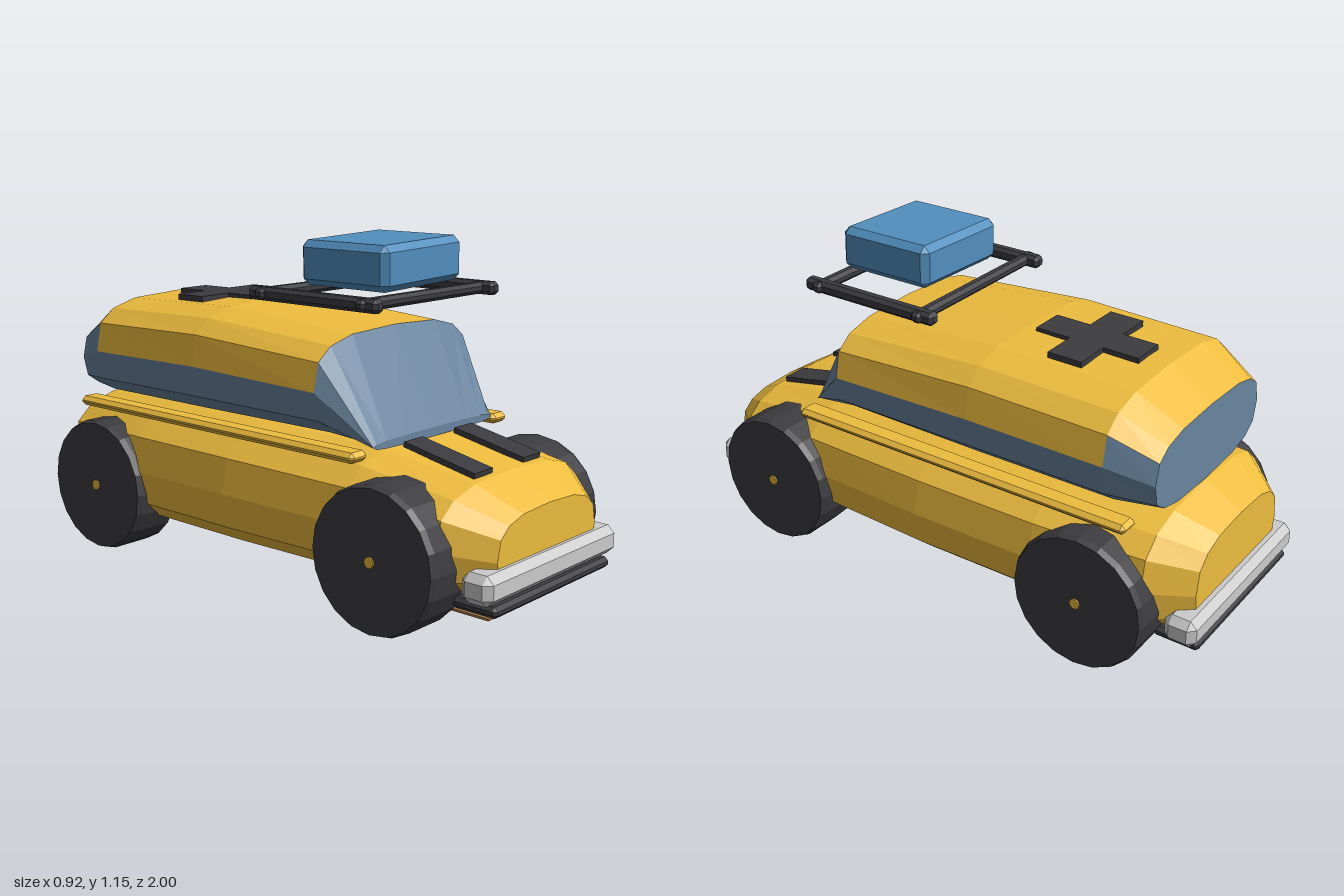
import * as THREE from 'three';
import { ConvexGeometry } from 'three/addons/geometries/ConvexGeometry.js';

const mat = (color, side = THREE.FrontSide) => new THREE.MeshStandardMaterial({ color, flatShading: true, side });
const YELLOW = mat(0xedbc3e, THREE.DoubleSide), GLASS = mat(0x6a86a0, THREE.DoubleSide);
const DARK = mat(0x3c3c40), CHROME = mat(0xdadcdc), BLUE = mat(0x528fbf), BROWN = mat(0xa8794a);

const SIDES = 16;

// Rounded-square ring: z position, half width, bottom and top heights
function ring([z, w, y0, y1], power) {
  const soft = v => Math.sign(v) * Math.abs(v) ** power;
  return Array.from({ length: SIDES }, (_, j) => {
    const a = j * Math.PI * 2 / SIDES;
    return [w * soft(Math.cos(a)), (y0 + y1) / 2 + (y1 - y0) / 2 * soft(Math.sin(a)), z];
  });
}

// Skin over rings from front to back; pick(segment, side) chooses faces, segment -1 and last are the caps
function loft(stations, power, pick = () => true) {
  const rings = stations.map(s => ring(s, power));
  const last = rings.length - 1, pos = [];
  const tri = (...pts) => pts.forEach(p => pos.push(...p));
  const mid = ([z, , y0, y1]) => [0, (y0 + y1) / 2, z];
  for (let j = 0; j < SIDES; j++) {
    const k = (j + 1) % SIDES;
    for (let i = 0; i < last; i++) {
      if (!pick(i, j)) continue;
      const [a, b, c, d] = [rings[i][j], rings[i][k], rings[i + 1][j], rings[i + 1][k]];
      tri(a, c, b);
      tri(b, c, d);
    }
    if (pick(-1, j)) tri(mid(stations[0]), rings[0][j], rings[0][k]);
    if (pick(last, j)) tri(mid(stations[last]), rings[last][k], rings[last][j]);
  }
  const geo = new THREE.BufferGeometry();
  geo.setAttribute('position', new THREE.Float32BufferAttribute(pos, 3));
  geo.computeVertexNormals();
  return geo;
}

// Box with chamfered edges
function chamferBox(w, h, d, c) {
  const pts = [];
  for (const x of [-1, 1]) for (const y of [-1, 1]) for (const z of [-1, 1]) {
    const [X, Y, Z] = [w / 2, h / 2, d / 2];
    pts.push(new THREE.Vector3(x * X, y * (Y - c), z * (Z - c)));
    pts.push(new THREE.Vector3(x * (X - c), y * Y, z * (Z - c)));
    pts.push(new THREE.Vector3(x * (X - c), y * (Y - c), z * Z));
  }
  return new ConvexGeometry(pts);
}

export function createModel() {
  const model = new THREE.Group();
  model.name = 'rescueCar';
  const add = (name, geo, material, x = 0, y = 0, z = 0, parent = model) => {
    const m = new THREE.Mesh(geo, material);
    m.name = name;
    m.position.set(x, y, z);
    parent.add(m);
    return m;
  };

  // Lower body
  add('body', loft([
    [0.965, 0.27, 0.14, 0.395],
    [0.83, 0.385, 0.115, 0.475],
    [0.5, 0.415, 0.1, 0.535],
    [0, 0.44, 0.1, 0.55],
    [-0.45, 0.435, 0.1, 0.55],
    [-0.83, 0.395, 0.115, 0.535],
    [-0.96, 0.28, 0.14, 0.46],
  ], 0.68), YELLOW);

  // Cabin: glass windshield, side band and rear window under a painted roof
  const cabin = [
    [0.53, 0.31, 0.53, 0.56],
    [0.36, 0.392, 0.535, 0.875],
    [-0.18, 0.4, 0.53, 0.914],
    [-0.68, 0.395, 0.53, 0.9],
    [-0.83, 0.34, 0.54, 0.805],
  ];
  const isGlass = (i, j) =>
    i <= 0 || i === 4 || j >= SIDES / 2 || (i === 3 && (j === 0 || j === 7));
  add('cabinGlass', loft(cabin, 0.64, isGlass), GLASS);
  add('cabinRoof', loft(cabin, 0.64, (i, j) => !isGlass(i, j)), YELLOW);

  // Belt trim, hood stripes and ground slats, mirrored
  for (const s of [-1, 1]) {
    add('beltTrim', chamferBox(0.08, 0.034, 1.3, 0.014), YELLOW, s * 0.37, 0.527, -0.12);
    const stripe = add('hoodStripe', new THREE.BoxGeometry(0.094, 0.018, 0.275), DARK, s * 0.131, 0.509, 0.677);
    stripe.rotation.x = 0.2;
    add('groundSlat', new THREE.BoxGeometry(0.065, 0.008, 0.18), BROWN, s * 0.078, 0.014, 0.74);
  }

  // Roof cross
  const cross = new THREE.Shape();
  const a = 0.062, b = 0.19;
  [[a, b], [-a, b], [-a, a], [-b, a], [-b, -a], [-a, -a], [-a, -b], [a, -b], [a, -a], [b, -a], [b, a], [a, a]]
    .forEach(([x, y], i) => (i ? cross.lineTo(x, y) : cross.moveTo(x, y)));
  const crossGeo = new THREE.ExtrudeGeometry(cross, { depth: 0.02, bevelEnabled: false }).rotateX(-Math.PI / 2);
  add('roofCross', crossGeo, DARK, 0, 0.9, -0.41).rotation.x = -0.012;

  // Wheels with chamfered treads and small hubs
  const R = 0.235, H = 0.094;
  const profile = [[0, -H], [R - 0.025, -H], [R, -H + 0.02], [R, H - 0.02], [R - 0.008, H], [0, H]]
    .map(p => new THREE.Vector2(...p));
  const tyre = new THREE.LatheGeometry(profile, 20);
  const hub = new THREE.CylinderGeometry(0.018, 0.018, 0.01, 10);
  for (const s of [-1, 1]) for (const z of [0.637, -0.637]) {
    const wheel = new THREE.Group();
    wheel.name = z > 0 ? 'frontWheel' : 'rearWheel';
    wheel.position.set(s * 0.359, 0.242, z);
    wheel.rotation.z = -s * Math.PI / 2;
    model.add(wheel);
    add('tyre', tyre, DARK, 0, 0, 0, wheel);
    add('hub', hub, YELLOW, 0, H, 0, wheel);
  }

  // Bumpers with dark lower bars
  for (const s of [-1, 1]) {
    const end = s > 0 ? 'front' : 'rear';
    add(end + 'Bumper', chamferBox(0.72, 0.095, 0.11, 0.024), CHROME, 0, 0.202, s * 0.945);
    add(end + 'LowerBar', chamferBox(0.64, 0.036, 0.16, 0.012), DARK, 0, s > 0 ? 0.133 : 0.146, s * 0.918);
  }
  add('skidPlate', chamferBox(0.034, 0.12, 0.17, 0.006), DARK, 0, 0.068, 0.75);

  // Raised luggage rack
  const rack = new THREE.Group();
  rack.name = 'roofRack';
  rack.position.set(0, 0.978, 0.275);
  model.add(rack);
  for (const s of [-1, 1]) {
    add('sideRail', chamferBox(0.046, 0.044, 0.54, 0.012), DARK, s * 0.3, 0, 0, rack);
    add('crossRail', chamferBox(0.67, 0.038, 0.042, 0.012), DARK, 0, 0, s * 0.21, rack);
  }

  // Luggage case, resting slightly askew
  add('luggageCase', chamferBox(0.4, 0.146, 0.36, 0.022), BLUE, 0, 1.079, 0.3).rotation.z = 0.03;

  return model;
}
